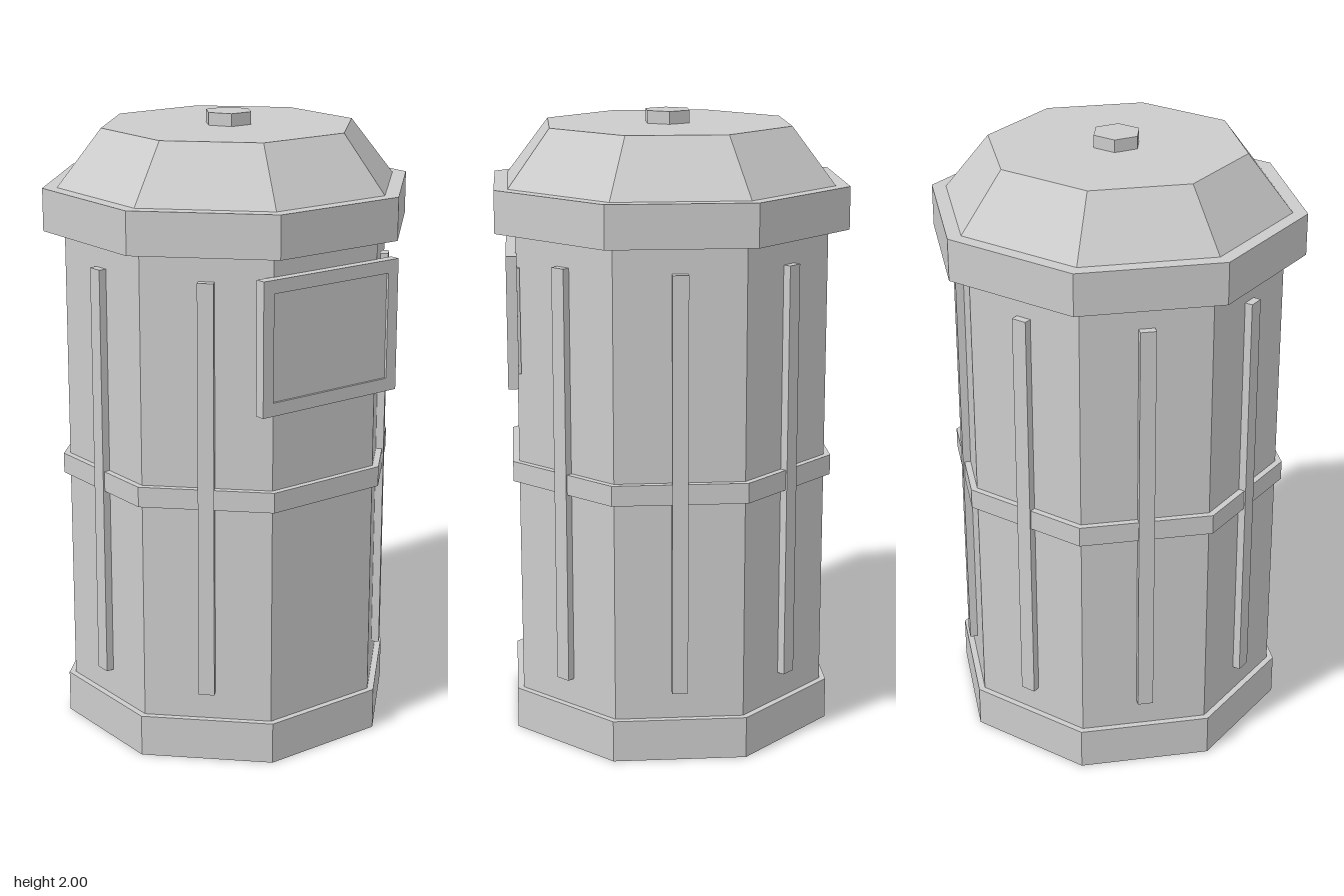
import * as THREE from 'three';

export function createModel() {
  const model = new THREE.Group();
  model.name = 'octagonalBin';
  const grey = new THREE.MeshStandardMaterial({ color: 0xcccccc, flatShading: true });
  grey.name = 'plain grey';

  const add = (name, geometry, parent = model) => {
    const mesh = new THREE.Mesh(geometry, grey);
    mesh.name = name;
    parent.add(mesh);
    return mesh;
  };

  // Prism sized by the distance from its axis to its flat sides
  const prism = (name, bottom, top, y0, y1, sides = 8) => {
    const k = Math.cos(Math.PI / sides);
    const g = new THREE.CylinderGeometry(top / k, bottom / k, y1 - y0, sides, 1, false, Math.PI / sides);
    g.translate(0, (y0 + y1) / 2, 0);
    return add(name, g);
  };

  prism('base', 0.51, 0.51, 0, 0.135);
  prism('body', 0.49, 0.49, 0.135, 1.645);
  prism('middleBand', 0.51, 0.51, 0.845, 0.91);
  prism('lidRim', 0.553, 0.553, 1.645, 1.78);
  prism('lidSlope', 0.51, 0.378, 1.78, 1.96);
  prism('lidKnob', 0.067, 0.067, 1.96, 2, 6);

  // Upright battens on every side but the front
  for (let i = 1; i < 8; i++) {
    const side = new THREE.Group();
    side.name = 'battenSide' + i;
    side.rotation.y = (i * Math.PI) / 4;
    add('batten', new THREE.BoxGeometry(0.05, 1.335, 0.035), side).position.set(0, 0.8925, 0.4975);
    model.add(side);
  }

  // Front flap: a frame around a slightly recessed panel
  const rect = (shape, w, h) => {
    shape.moveTo(-w, -h).lineTo(w, -h).lineTo(w, h).lineTo(-w, h).closePath();
    return shape;
  };
  const path = (P, w, h) => {
    const p = new P();
    p.moveTo(-w, -h);
    p.lineTo(w, -h);
    p.lineTo(w, h);
    p.lineTo(-w, h);
    p.closePath();
    return p;
  };
  const frame = path(THREE.Shape, 0.265, 0.21);
  frame.holes.push(path(THREE.Path, 0.225, 0.168));
  const frameGeometry = new THREE.ExtrudeGeometry(frame, { depth: 0.034, bevelEnabled: false });
  add('flapFrame', frameGeometry).position.set(0, 1.37, 0.486);
  add('flapPanel', new THREE.BoxGeometry(0.45, 0.336, 0.034)).position.set(0, 1.368, 0.495);

  return model;
}
